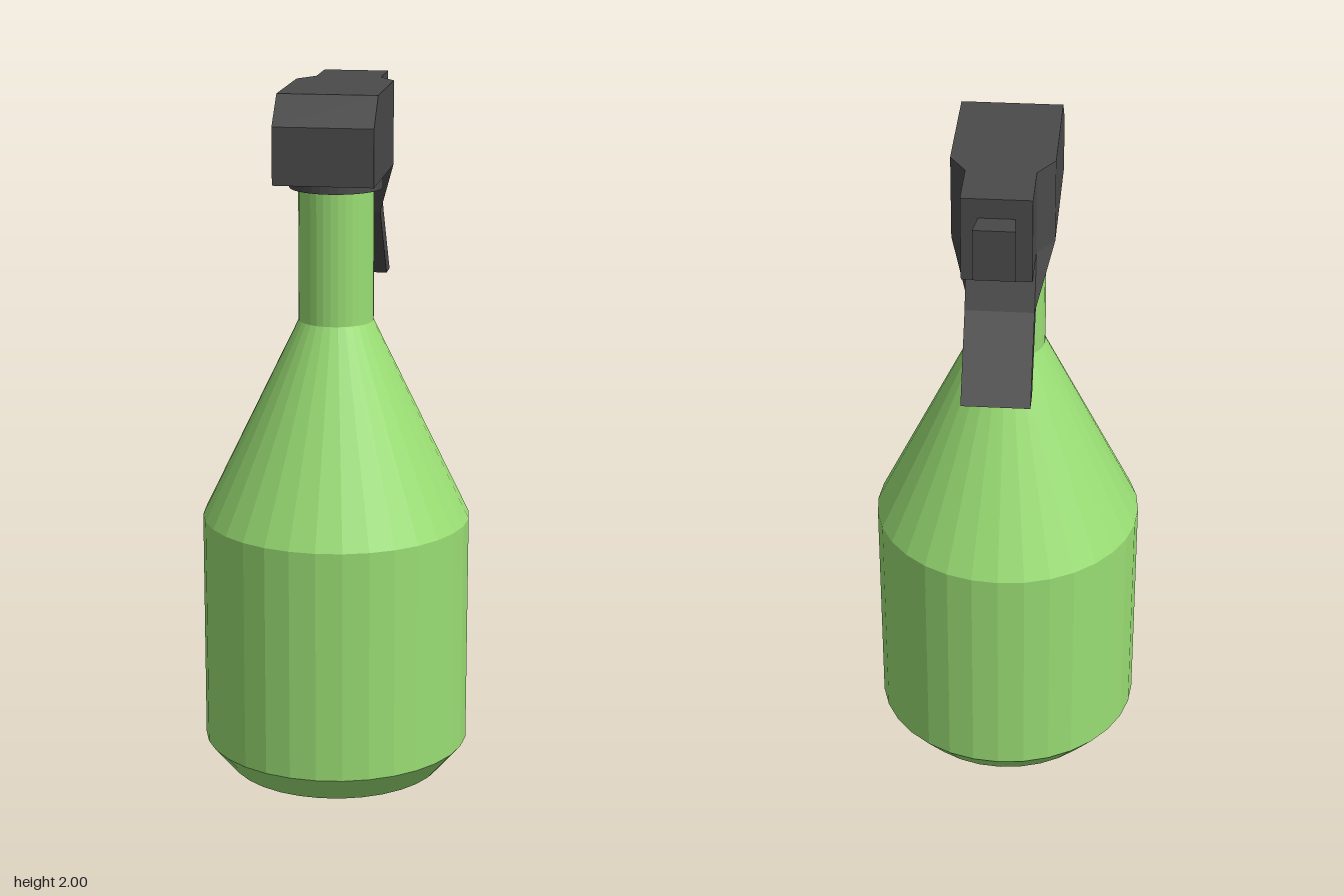
import * as THREE from 'three';

const AXIS_Z = 0.042; // centre line of the bottle
const SIDES = 32;

const green = new THREE.MeshStandardMaterial({ color: 0x9ade74, flatShading: true });
const dark = new THREE.MeshStandardMaterial({ color: 0x4a4a4a, flatShading: true });

// Closed solid through four-cornered rings, each clockwise as seen from the first ring
function loft(rings) {
  const positions = [];
  const tri = (...corners) => corners.forEach((c) => positions.push(...c));
  for (let r = 0; r < rings.length - 1; r++) {
    const a = rings[r], b = rings[r + 1];
    for (let i = 0; i < 4; i++) {
      const j = (i + 1) % 4;
      tri(a[i], a[j], b[j]);
      tri(a[i], b[j], b[i]);
    }
  }
  const s = rings[0], e = rings[rings.length - 1];
  tri(s[0], s[2], s[1]); tri(s[0], s[3], s[2]);
  tri(e[0], e[1], e[2]); tri(e[0], e[2], e[3]);
  const geometry = new THREE.BufferGeometry();
  geometry.setAttribute('position', new THREE.Float32BufferAttribute(positions, 3));
  geometry.computeVertexNormals();
  return geometry;
}

// Upright rectangle at depth z
const uprightRing = ([z, w, bottom, top]) => [[-w, top, z], [w, top, z], [w, bottom, z], [-w, bottom, z]];
// Level trapezoid at height y
const levelRing = ([y, zBack, wBack, zFront, wFront]) =>
  [[-wBack, y, zBack], [wBack, y, zBack], [wFront, y, zFront], [-wFront, y, zFront]];

export function createModel() {
  const group = new THREE.Group();
  const add = (name, geometry, material) => {
    const mesh = new THREE.Mesh(geometry, material);
    mesh.name = name;
    group.add(mesh);
    return mesh;
  };

  // Bottle: chamfered base, straight body, conical shoulder and neck
  const profile = [[0, 0], [0.315, 0], [0.387, 0.085], [0.387, 0.762], [0.107, 1.34], [0.107, 1.725], [0, 1.725]]
    .map(([r, y]) => new THREE.Vector2(r, y));
  add('bottle', new THREE.LatheGeometry(profile, SIDES), green).position.z = AXIS_Z;

  // Collar between neck and spray head
  add('collar', new THREE.CylinderGeometry(0.132, 0.132, 0.045, SIDES), dark).position.set(0, 1.7425, AXIS_Z);

  // Spray head: sloped top edge at the front, narrowing towards the nozzle
  add('sprayHead', loft([
    [0.283, 0.14, 1.76, 1.92],
    [0.203, 0.14, 1.76, 2],
    [-0.125, 0.14, 1.76, 2],
    [-0.195, 0.094, 1.76, 2],
    [-0.347, 0.094, 1.76, 2],
  ].map(uprightRing)), dark);

  // Flared nozzle
  add('nozzle', loft([
    [-0.345, 0.048, 1.82, 1.944],
    [-0.43, 0.056, 1.808, 1.954],
  ].map(uprightRing)), dark);

  // Bent trigger lever
  add('trigger', loft([
    [1.76, -0.195, 0.094, -0.125, 0.14],
    [1.61, -0.255, 0.094, -0.188, 0.094],
    [1.4, -0.403, 0.094, -0.337, 0.094],
  ].map(levelRing)), dark);

  return group;
}
